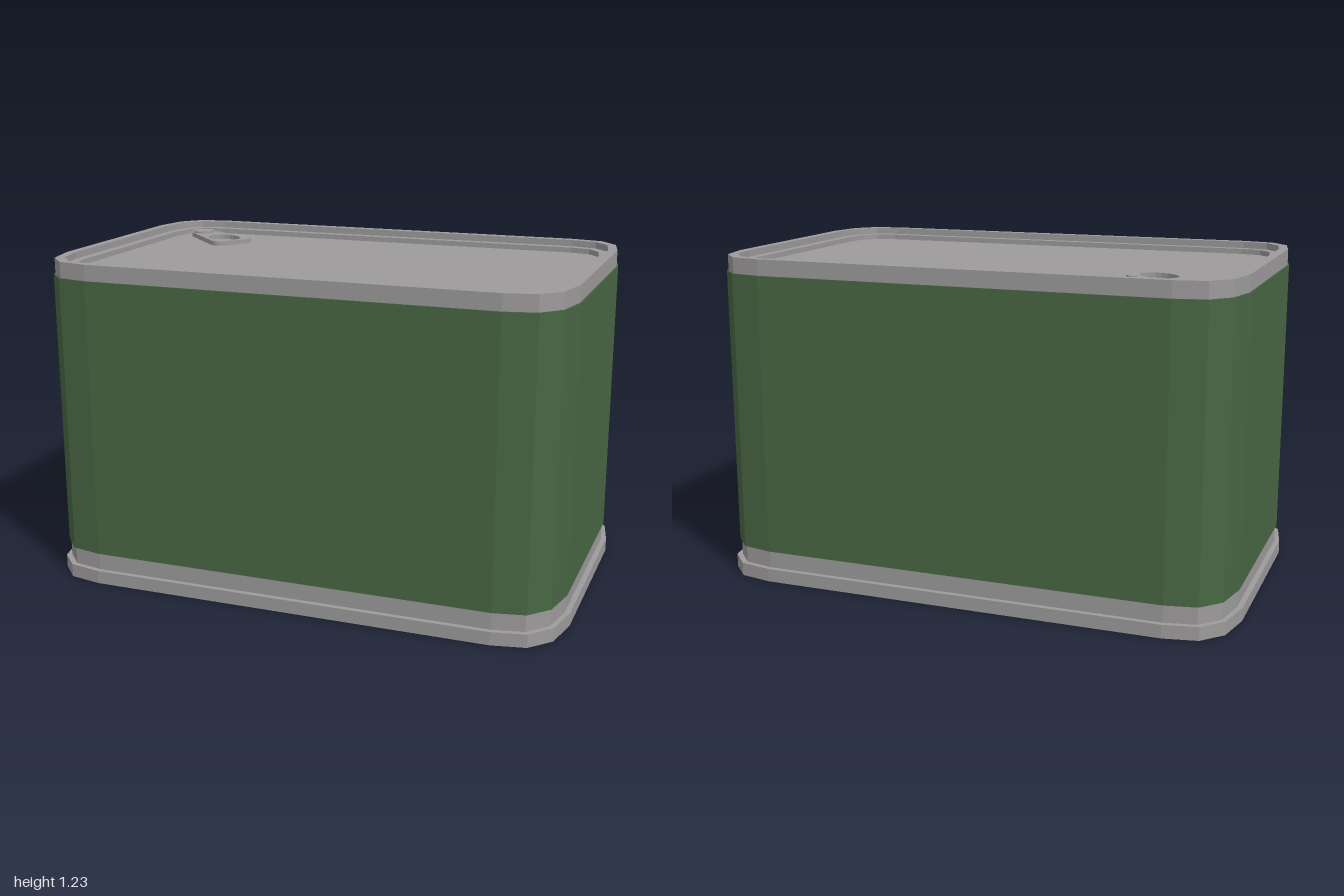
import * as THREE from 'three';

// Corner centre, and the faceted quarter-corner going from the x side to the z side
const CX = 0.77, CZ = 0.38;
const CORNER = [[1, 0], [0.87, 0.58], [0.55, 0.9], [0, 1]];

// One rounded-rectangle ring, running from +x towards +z
function ring(hx, hz, y) {
  const points = [];
  [[1, 1], [-1, 1], [-1, -1], [1, -1]].forEach(([sx, sz], q) => {
    const corner = q % 2 ? [...CORNER].reverse() : CORNER;
    for (const [u, v] of corner) {
      points.push([sx * (CX + (hx - CX) * u), y, sz * (CZ + (hz - CZ) * v)]);
    }
  });
  return points;
}

// Skin a list of [inset, y] rings with flat facets; a null inset closes to the centre
function loft(profile) {
  const rings = profile.map(([inset, y]) =>
    inset === null ? Array(16).fill([0, y, 0]) : ring(1 - inset, 0.63 - inset, y));
  const pos = [];
  for (let r = 0; r < rings.length - 1; r++) {
    for (let i = 0; i < 16; i++) {
      const j = (i + 1) % 16;
      const a = rings[r][i], b = rings[r][j], c = rings[r + 1][j], d = rings[r + 1][i];
      if (profile[r + 1][0] !== null) pos.push(...a, ...d, ...c);
      if (profile[r][0] !== null) pos.push(...a, ...c, ...b);
    }
  }
  const geometry = new THREE.BufferGeometry();
  geometry.setAttribute('position', new THREE.Float32BufferAttribute(pos, 3));
  geometry.computeVertexNormals();
  return geometry;
}

export function createModel() {
  const model = new THREE.Group();
  model.name = 'tinCan';
  const metal = new THREE.MeshStandardMaterial({ color: 0x9c9a9a });
  metal.name = 'grey metal';
  const green = new THREE.MeshStandardMaterial({ color: 0x486643 });
  green.name = 'green label';

  const add = (name, geometry, material, parent = model) => {
    const mesh = new THREE.Mesh(geometry, material);
    mesh.name = name;
    parent.add(mesh);
    return mesh;
  };

  // Recessed underside and the wider foot flange
  add('base', loft([
    [null, 0.04], [0.085, 0.04], [0.085, 0.02], [0.05, 0.02], [0.05, 0],
    [0, 0], [0, 0.05], [0.02, 0.05],
  ]), metal);

  // Bare metal wall with rolled rim and stepped, recessed lid
  add('wallAndLid', loft([
    [0.02, 0.05], [0.02, 1.23], [0.055, 1.23], [0.055, 1.205],
    [0.09, 1.205], [0.09, 1.185], [null, 1.185],
  ]), metal);

  // Label sleeve wrapped around the wall
  add('label', loft([[0.02, 0.115], [0.014, 0.115], [0.014, 1.17], [0.02, 1.17]]), green);

  // Pull tab, drawn along +x from its rivet, then turned towards the lid centre
  const tab = new THREE.Group();
  tab.name = 'pullTab';
  tab.position.set(-0.8, 1.185, -0.43);
  tab.rotation.y = -0.63;
  model.add(tab);

  const shape = new THREE.Shape();
  shape.moveTo(0, -0.05);
  shape.lineTo(0.235, -0.09);
  shape.quadraticCurveTo(0.275, -0.09, 0.28, -0.05);
  shape.lineTo(0.28, 0.05);
  shape.quadraticCurveTo(0.275, 0.09, 0.235, 0.09);
  shape.lineTo(0, 0.05);
  shape.absarc(0, 0, 0.05, Math.PI / 2, Math.PI * 1.5, false);
  const hole = new THREE.Path();
  hole.absellipse(0.182, 0, 0.08, 0.06, 0, Math.PI * 2, true);
  shape.holes.push(hole);
  const plate = new THREE.ExtrudeGeometry(shape, { depth: 0.018, bevelEnabled: false, curveSegments: 10 });
  plate.rotateX(-Math.PI / 2);
  add('tabPlate', plate, metal, tab);

  // Rivet holding the tab
  const rivet = add('rivet', new THREE.CylinderGeometry(0.043, 0.043, 0.025, 20), metal, tab);
  rivet.position.y = 0.0125;

  return model;
}
